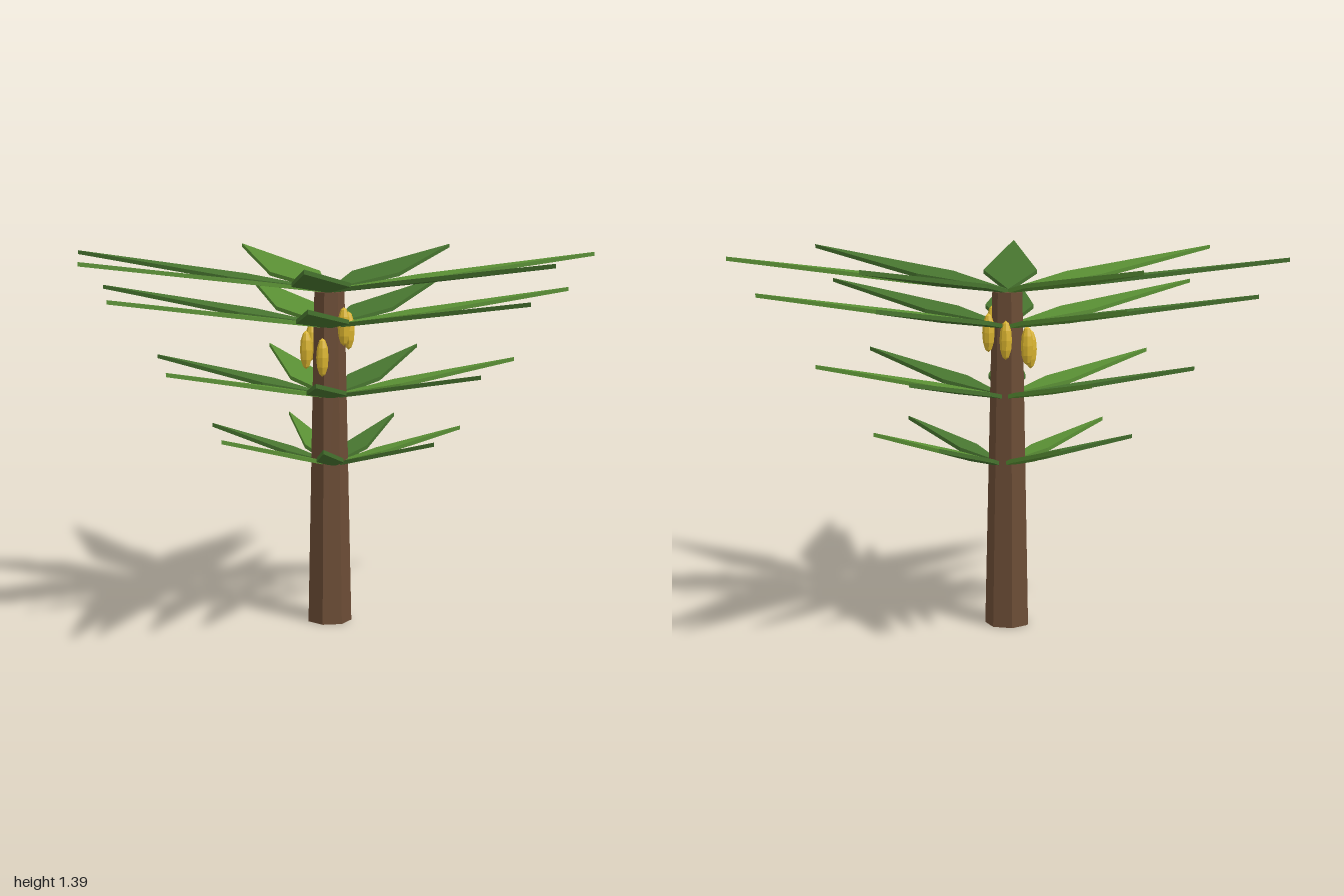
import * as THREE from 'three';

const flat = (name, color) => new THREE.MeshStandardMaterial({ name, color, flatShading: true });

// Flat kite-shaped blade along +x, rising towards its tip
function leafGeometry(length, rise) {
  const wide = length * 0.355, half = length * 0.102;
  const kite = new THREE.Shape([
    new THREE.Vector2(0, 0), new THREE.Vector2(wide, -half),
    new THREE.Vector2(length, 0), new THREE.Vector2(wide, half),
  ]);
  const geo = new THREE.ExtrudeGeometry(kite, { depth: 0.015, bevelEnabled: false });
  geo.rotateX(-Math.PI / 2);
  const p = geo.attributes.position;
  for (let i = 0; i < p.count; i++) p.setY(i, p.getY(i) + rise * p.getX(i) / length);
  geo.computeVertexNormals();
  return geo;
}

export function createModel() {
  const model = new THREE.Group();
  model.name = 'palmTree';
  const bark = flat('bark brown', 0x6b4c35);
  const darkLeaf = flat('dark leaf green', 0x47742f);
  const brightLeaf = flat('bright leaf green', 0x5a9034);
  const yellow = flat('fruit yellow', 0xdab42f);

  // Tapered seven-sided trunk
  const trunk = new THREE.Mesh(new THREE.CylinderGeometry(0.058, 0.085, 1.255, 7, 1, false, Math.PI), bark);
  trunk.name = 'trunk';
  trunk.position.set(-0.05, 1.255 / 2, 0);
  model.add(trunk);

  // Four tiers of seven leaves: [length, base height, centre x]
  const tiers = [[1.02, 1.25, -0.05], [0.918, 1.118, -0.047], [0.702, 0.855, -0.037], [0.487, 0.598, -0.027]];
  tiers.forEach(([length, y, x], t) => {
    const tier = new THREE.Group();
    tier.name = `leafTier${t + 1}`;
    tier.position.set(x, y, 0);
    const geo = leafGeometry(length, 0.13);
    for (let i = 0; i < 7; i++) {
      const leaf = new THREE.Mesh(geo, i % 2 ? brightLeaf : darkLeaf);
      leaf.name = `leaf${i + 1}`;
      leaf.rotation.y = i * Math.PI * 2 / 7;
      tier.add(leaf);
    }
    model.add(tier);
  });

  // Ring of long fruits, each hanging a little lower than the last
  const fruitGeo = new THREE.SphereGeometry(1, 8, 6).scale(0.023, 0.072, 0.023);
  for (let i = 0; i < 6; i++) {
    const a = i * Math.PI / 3;
    const fruit = new THREE.Mesh(fruitGeo, yellow);
    fruit.name = `fruit${i + 1}`;
    fruit.position.set(-0.058 + 0.083 * Math.cos(a), 1.13 - 0.0225 * i, -0.083 * Math.sin(a));
    model.add(fruit);
  }
  return model;
}
